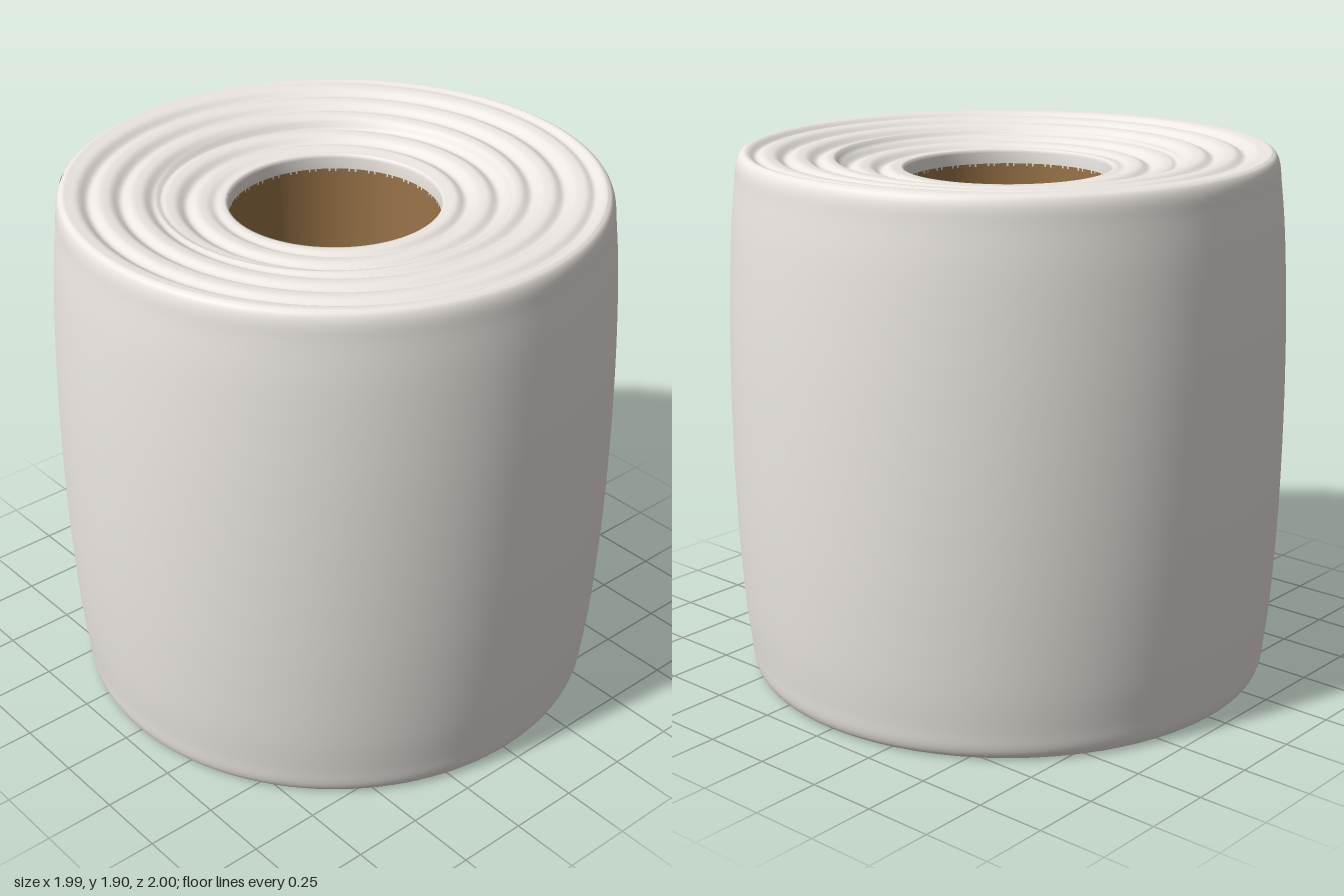
import * as THREE from 'three';

const H = 1.905, HOLE = 0.365, PITCH = 0.11, SEAM = -Math.PI * 0.75;

// Height of the dished end face below the rim, by radius
function dish(r) {
  const slope = 0.05 * (0.92 - r) / 0.55;
  const step = 0.018 * (1 - THREE.MathUtils.smoothstep(r, 0.59, 0.61));
  return slope + step;
}

// Depth of the spiral groove between the paper layers
function groove(r, turn) {
  const wave = 0.5 + 0.5 * Math.cos((r - 0.724 - turn * PITCH) / PITCH * Math.PI * 2);
  const fade = THREE.MathUtils.smoothstep(r, 0.38, 0.44) * (1 - THREE.MathUtils.smoothstep(r, 0.87, 0.915));
  return 0.018 * Math.pow(wave, 2) * fade;
}

// Upper half of the paper profile, from the hole to the bulging side
function halfProfile() {
  const pts = [new THREE.Vector2(HOLE, H - 0.13), new THREE.Vector2(HOLE, H - 0.08)];
  for (let i = 0; i <= 70; i++) {
    const r = 0.37 + 0.55 * i / 70;
    pts.push(new THREE.Vector2(r, H - dish(r)));
  }
  const side = new THREE.CatmullRomCurve3([
    [0.92, H], [0.936, 1.896], [0.949, 1.87], [0.958, 1.8], [0.974, 1.65], [0.991, 1.35], [0.997, H / 2 + 0.15], [0.998, H / 2],
  ].map(([x, y]) => new THREE.Vector3(x, y, 0)));
  side.getPoints(36).slice(1).forEach(p => pts.push(new THREE.Vector2(p.x, p.y)));
  return pts;
}

function paperGeometry() {
  const upper = halfProfile();
  const lower = upper.slice(0, -1).map(p => new THREE.Vector2(p.x, H - p.y));
  // Run bottom to top so that the faces point outwards
  const geo = new THREE.LatheGeometry([...lower, ...upper.reverse()], 128, SEAM, Math.PI * 2);
  const pos = geo.attributes.position;
  const rows = lower.length + upper.length;
  for (let i = 0; i < pos.count; i++) {
    const turn = Math.floor(i / rows) / 128;
    let x = pos.getX(i), y = pos.getY(i), z = pos.getZ(i);
    const r = Math.hypot(x, z);
    if (r > 0.368 && r < 0.921) {
      y += (y > H / 2 ? -1 : 1) * groove(r, turn);
    } else if (r > 0.921) {
      // The loose end of the last sheet stands a little proud at the seam
      const lift = 1 - 0.008 * Math.pow(1 - turn, 6) * THREE.MathUtils.smoothstep(r, 0.93, 0.96);
      x *= lift;
      z *= lift;
    }
    pos.setXYZ(i, x, y, z);
  }
  geo.computeVertexNormals();
  return geo;
}

export function createModel() {
  const group = new THREE.Group();
  group.name = 'paperRoll';

  const paper = new THREE.Mesh(paperGeometry(),
    new THREE.MeshStandardMaterial({ color: 0xece7e2, side: THREE.DoubleSide }));
  paper.name = 'paper';
  group.add(paper);

  // Cardboard core, set slightly inside both ends
  const core = new THREE.Mesh(
    new THREE.CylinderGeometry(HOLE, HOLE, H - 0.24, 96, 1, true),
    new THREE.MeshStandardMaterial({ color: 0x9a7448, side: THREE.DoubleSide }));
  core.name = 'core';
  core.position.y = H / 2;
  group.add(core);

  return group;
}
